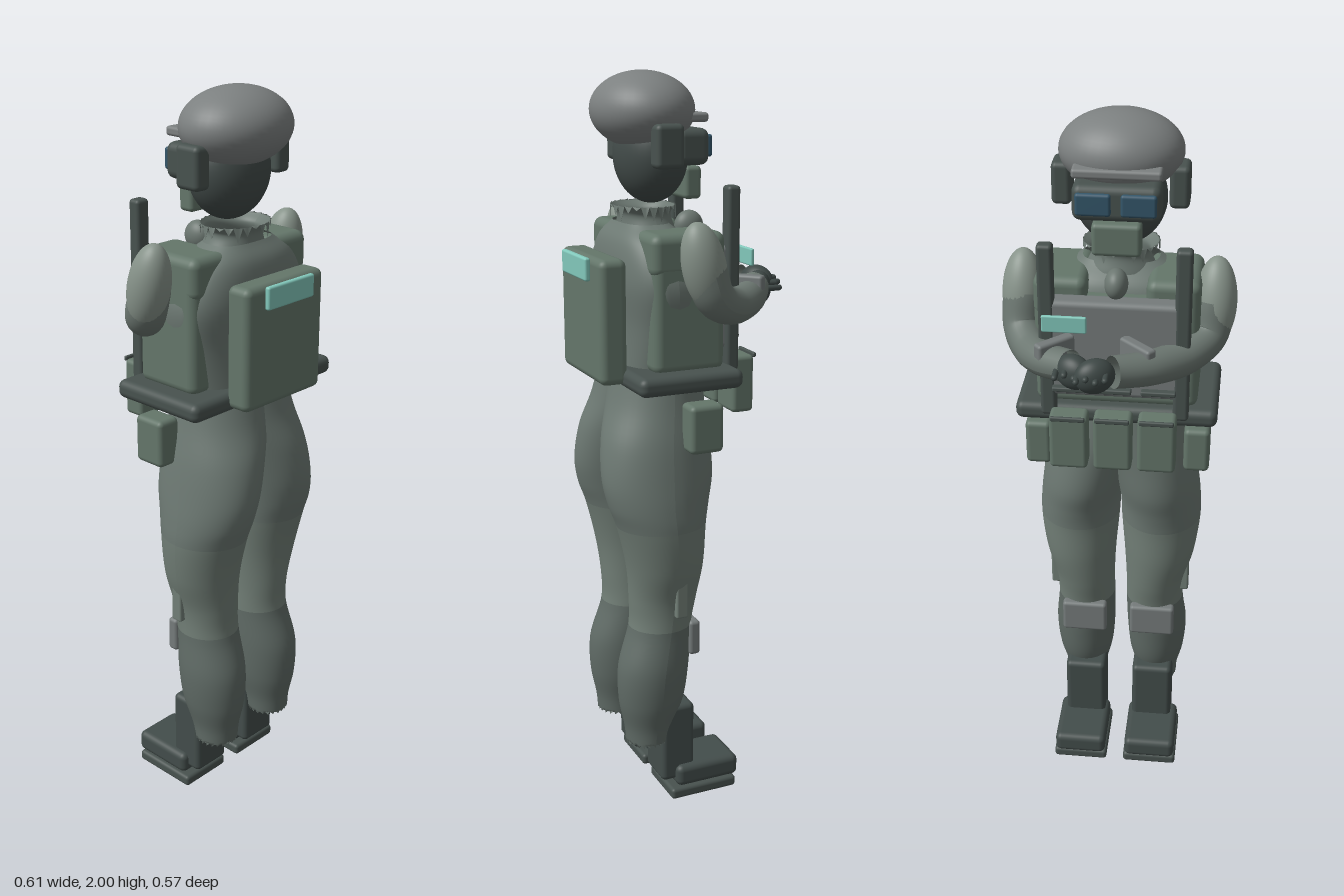
import * as THREE from 'three';
import { RoundedBoxGeometry } from 'three/addons/geometries/RoundedBoxGeometry.js';

const AXIS = -0.012; // body midline
const C = { green: 0x64766a, dark: 0x48524f, boot: 0x434d4b, helmet: 0x7c8080, skin: 0x424b49,
  suit: 0x6d7973, thigh: 0x727f77, calf: 0x606b66, arm: 0x87938a, fore: 0x6c7771,
  plate: 0x757b7b, cyan: 0x82c8bb, lens: 0x34566a, glove: 0x3e4846 };

export function createModel() {
  const model = new THREE.Group();
  const add = (name, geo, color, open) => {
    const m = new THREE.Mesh(geo, new THREE.MeshStandardMaterial({ color, side: open ? THREE.DoubleSide : THREE.FrontSide }));
    m.name = name;
    model.add(m);
    return m;
  };
  // rounded box from its extents
  const box = (name, color, [x0, x1], [y0, y1], [z0, z1], r = 0.012) => {
    const w = x1 - x0, h = y1 - y0, d = z1 - z0;
    const m = add(name, new RoundedBoxGeometry(w, h, d, 3, Math.min(r, w * 0.45, h * 0.45, d * 0.45)), color);
    m.position.set((x0 + x1) / 2, (y0 + y1) / 2, (z0 + z1) / 2);
    return m;
  };
  const ball = (name, color, p, s) => {
    const m = add(name, new THREE.SphereGeometry(1, 40, 28), color);
    m.position.set(...p);
    m.scale.set(...s);
    return m;
  };
  // extents mirrored about the midline; a and b are distances from it
  const side = (s, a, b) => s > 0 ? [AXIS + a, AXIS + b] : [AXIS - b, AXIS - a];

  // smooth skin through rows [y, x0, x1, z0, z1], top to bottom, with optional ragged ends
  const loft = (rows, { s = 1, from = 0, to = 1, power = 1, ragTop = 0, ragBottom = 0 } = {}) => {
    const lo = new THREE.CatmullRomCurve3(rows.map(r => new THREE.Vector3(r[1], r[0], r[3])));
    const hi = new THREE.CatmullRomCurve3(rows.map(r => new THREE.Vector3(r[2], r[0], r[4])));
    const N = 48, M = 28, pos = [], idx = [];
    const bend = v => Math.sign(v) * Math.abs(v) ** power;
    for (let i = 0; i <= M; i++) {
      const t = from + (to - from) * i / M, a = lo.getPoint(t), b = hi.getPoint(t);
      for (let j = 0; j <= N; j++) {
        const q = j / N * Math.PI * 2, tooth = (j % 2) * (0.6 + 0.4 * Math.sin(j * 2.3));
        const x = (a.x + b.x) / 2 + (b.x - a.x) / 2 * bend(Math.cos(q));
        const z = (a.z + b.z) / 2 + (b.z - a.z) / 2 * bend(Math.sin(q));
        const y = a.y - (i === 0 ? ragTop * tooth : 0) + (i === M ? ragBottom * tooth : 0);
        pos.push(AXIS + s * x, y, z);
      }
    }
    for (let i = 0; i < M; i++) for (let j = 0; j < N; j++) {
      const a = i * (N + 1) + j, b = a + 1, c = a + N + 1, d = c + 1;
      if (s > 0) idx.push(a, b, c, b, d, c);
      else idx.push(a, c, b, b, c, d);
    }
    const g = new THREE.BufferGeometry();
    g.setAttribute('position', new THREE.Float32BufferAttribute(pos, 3));
    g.setIndex(idx);
    g.computeVertexNormals();
    return g;
  };

  // legs and hips
  const leg = [
    [1.25, -0.1, 0.165, -0.055, 0.185], [1.15, -0.08, 0.183, -0.06, 0.205], [1.05, -0.04, 0.205, -0.065, 0.235],
    [0.95, -0.012, 0.22, -0.065, 0.243], [0.88, 0, 0.228, -0.05, 0.23], [0.82, 0.003, 0.23, -0.04, 0.208],
    [0.7, 0.013, 0.215, -0.034, 0.18], [0.6, 0.018, 0.19, -0.02, 0.17], [0.52, 0.018, 0.186, -0.005, 0.17],
    [0.4, 0.02, 0.197, 0.005, 0.205], [0.3, 0.028, 0.19, 0.02, 0.205], [0.22, 0.045, 0.173, 0.05, 0.19],
    [0.17, 0.05, 0.17, 0.065, 0.185]];
  for (const s of [1, -1]) {
    add('hip', loft(leg, { s, to: 5 / 12 }), C.suit, true);
    add('thigh', loft(leg, { s, from: 5 / 12, to: 8 / 12 }), C.thigh, true);
    add('calf', loft(leg, { s, from: 8 / 12, ragBottom: 0.045 }), C.calf, true);
    box('bootShaft', C.boot, side(s, 0.042, 0.162), [0.05, 0.28], [0, 0.1], 0.015);
    box('bootFoot', C.boot, side(s, 0.03, 0.182), [0.032, 0.095], [-0.13, 0.06], 0.018);
    box('bootSole', C.dark, side(s, 0.026, 0.186), [0, 0.032], [-0.12, 0.08], 0.01);
    box('kneePad', C.plate, side(s, 0.035, 0.165), [0.43, 0.53], [-0.015, 0.018], 0.01);
    box('thighPatch', C.thigh, side(s, 0.175, 0.203), [0.565, 0.7], [0.04, 0.075], 0.006);
    box('hipPouch', C.green, side(s, 0.18, 0.25), [1.04, 1.17], [-0.04, 0.055], 0.014);
  }

  // torso under the vest and ragged collar
  add('torso', loft([[1.62, -0.1, 0.1, 0.03, 0.15], [1.57, -0.17, 0.17, -0.02, 0.18], [1.48, -0.215, 0.215, -0.04, 0.19],
    [1.36, -0.2, 0.2, -0.045, 0.18], [1.2, -0.165, 0.165, -0.055, 0.185]], { power: 0.75 }), C.suit, true);
  add('collar', loft([[1.665, -0.1, 0.1, 0.0, 0.165], [1.64, -0.075, 0.075, 0.01, 0.15], [1.6, -0.09, 0.09, 0.0, 0.15]],
    { ragTop: 0.04 }), C.suit, true);
  ball('throat', C.fore, [AXIS, 1.6, -0.05], [0.03, 0.04, 0.04]);

  // vest, chest plate, belt
  box('vest', C.green, [-0.225, 0.2], [1.25, 1.56], [-0.06, 0.14], 0.025);
  for (const s of [1, -1]) {
    box('shoulderPad', C.green, side(s, 0.075, 0.213), [1.5, 1.61], [-0.06, 0.145], 0.025);
    box('vestPost', C.dark, side(s, 0.152, 0.193), [1.24, 1.72], [-0.108, -0.072], 0.01);
  }
  box('chestPlate', C.plate, [-0.19, 0.166], [1.3, 1.57], [-0.106, -0.05], 0.015);
  box('belt', C.dark, [-0.28, 0.253], [1.21, 1.26], [-0.09, 0.2], 0.02);
  for (const x of [-0.127, -0.012, 0.103]) {
    box('frontPouch', C.green, [x - 0.05, x + 0.05], [1.115, 1.27], [-0.168, -0.105], 0.012);
    box('pouchFlap', C.dark, [x - 0.045, x + 0.045], [1.262, 1.275], [-0.176, -0.166], 0.004);
    box('chestStrap', C.dark, [x - 0.045, x + 0.045], [1.32, 1.333], [-0.124, -0.1], 0.004);
  }

  // backpack
  box('backpack', C.green, [-0.157, 0.133], [1.22, 1.545], [0.185, 0.26], 0.02);
  box('backPanel', C.cyan, [-0.1, 0.073], [1.485, 1.545], [0.262, 0.278], 0.006);

  // arms folded in front, tapering toward the wrists
  const arm = (s, pts, hand, turn) => {
    const top = ball('upperArm', C.arm, [AXIS + s * 0.249, 1.53, 0.022], [0.054, 0.116, 0.057]);
    top.rotation.x = 0.22;
    const path = new THREE.CatmullRomCurve3(pts.map(p => new THREE.Vector3(...p)));
    const g = new THREE.TubeGeometry(path, 36, 0.055, 24), p = g.attributes.position, v = new THREE.Vector3();
    for (let i = 0; i < p.count; i++) {
      const t = Math.floor(i / 25) / 36, c = path.getPointAt(t);
      v.fromBufferAttribute(p, i).sub(c).multiplyScalar(1 - 0.25 * t).add(c);
      p.setXYZ(i, v.x, v.y, v.z);
    }
    g.computeVertexNormals();
    add('forearm', g, C.fore, true);
    ball('glove', C.glove, hand, [0.052, 0.046, 0.036]).rotation.y = turn;
    for (let i = 0; i < 4; i++) {
      const f = add('finger', new THREE.CapsuleGeometry(0.008, 0.04, 4, 10), C.glove);
      f.position.set(hand[0] - 0.03 + i * 0.024, hand[1] + 0.012 - (i % 2) * 0.008, hand[2] - 0.022);
      f.rotation.x = Math.PI / 2;
    }
  };
  arm(1, [[0.235, 1.53, 0.02], [0.236, 1.45, -0.01], [0.208, 1.42, -0.07], [0.16, 1.425, -0.14], [0.09, 1.44, -0.195]],
    [0.078, 1.435, -0.213], -0.5);
  arm(-1, [[-0.255, 1.53, 0.02], [-0.245, 1.45, -0.005], [-0.19, 1.42, -0.075], [-0.11, 1.425, -0.155], [-0.02, 1.44, -0.215]],
    [0.022, 1.44, -0.238], 0.4);
  for (const [x, z, turn] of [[-0.075, -0.142, -0.75], [0.135, -0.142, 0.75]]) {
    const guard = box('armGuard', C.plate, [x - 0.055, x + 0.055], [1.42, 1.485], [z - 0.015, z + 0.015], 0.008);
    guard.rotation.y = turn;
  }
  box('armDisplay', C.cyan, [0.052, 0.165], [1.51, 1.555], [-0.156, -0.146], 0.004);

  // head, helmet and face gear
  ball('head', C.skin, [AXIS, 1.79, 0.06], [0.118, 0.125, 0.094]);
  ball('helmet', C.helmet, [AXIS, 1.902, 0.083], [0.157, 0.098, 0.132]);
  box('helmetBrim', C.helmet, [-0.122, 0.098], [1.873, 1.897], [-0.056, 0.02], 0.008);
  box('goggles', C.dark, [-0.122, 0.098], [1.765, 1.858], [-0.062, 0.03], 0.022);
  for (const s of [1, -1]) {
    box('earCup', C.dark, side(s, 0.122, 0.173), [1.765, 1.875], [0.038, 0.115], 0.014);
    box('lens', C.lens, side(s, 0.012, 0.1), [1.785, 1.842], [-0.072, -0.055], 0.008);
  }
  box('faceMask', C.green, [-0.074, 0.05], [1.675, 1.76], [-0.06, -0.012], 0.012);
  return model;
}
